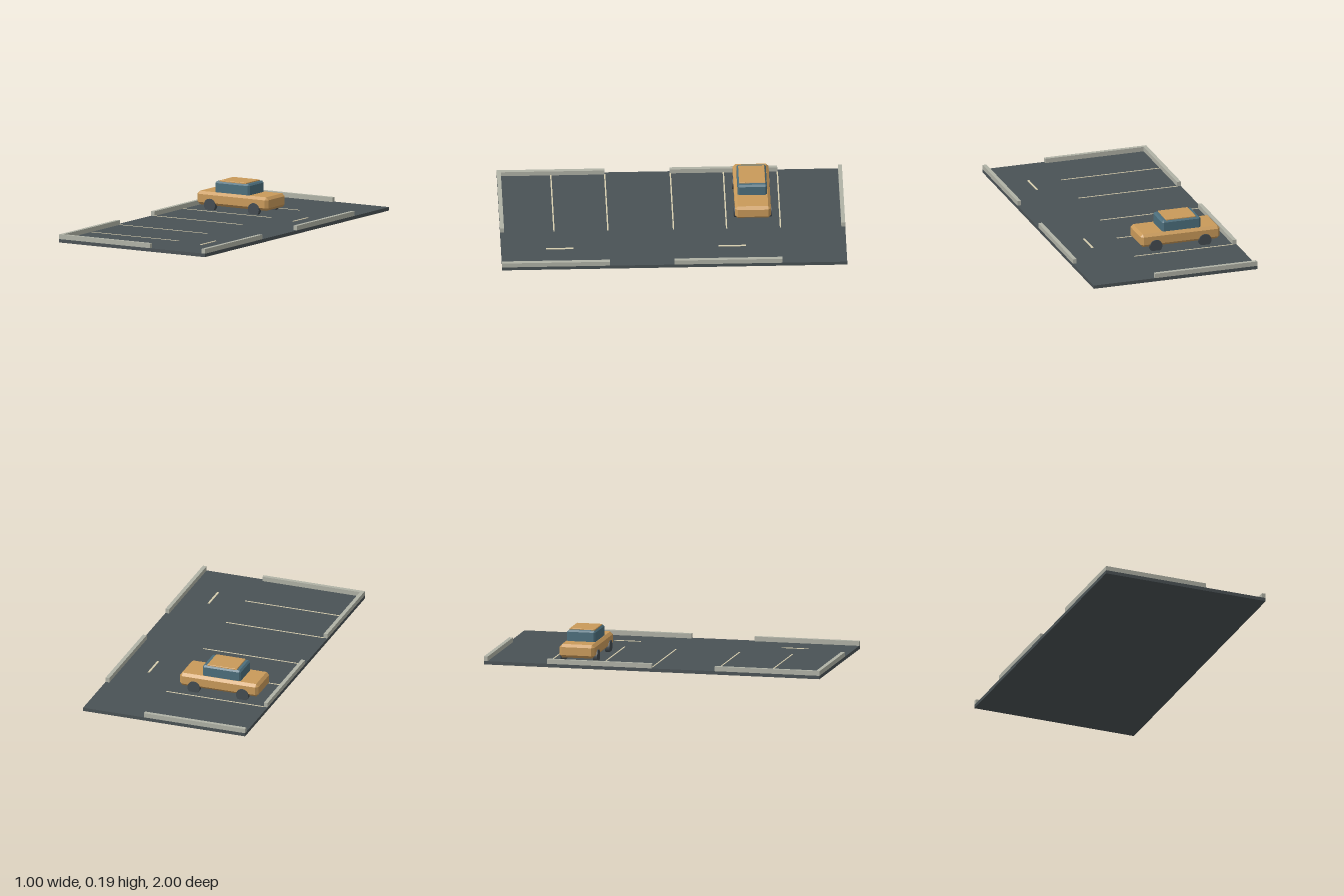
import * as THREE from 'three';
import { ConvexGeometry } from 'three/addons/geometries/ConvexGeometry.js';

const mat = (name, color) => {
  const m = new THREE.MeshStandardMaterial({ color });
  m.name = name;
  return m;
};

export function createModel() {
  const asphalt = mat('asphalt', 0x4a5255);
  const concrete = mat('concrete', 0xb0b2a6);
  const paint = mat('linePaint', 0xd6cdae);
  const bodyPaint = mat('bodyPaint', 0xc99a5a);
  const glass = mat('glass', 0x4c6e7c);
  const rubber = mat('rubber', 0x444c51);

  const add = (parent, name, geometry, material) => {
    const mesh = new THREE.Mesh(geometry, material);
    mesh.name = name;
    parent.add(mesh);
    return mesh;
  };

  // Box given by its minimum and maximum on each axis
  const box = (parent, name, material, x0, x1, y0, y1, z0, z1) =>
    add(parent, name, new THREE.BoxGeometry(x1 - x0, y1 - y0, z1 - z0), material)
      .position.set((x0 + x1) / 2, (y0 + y1) / 2, (z0 + z1) / 2);

  // Box with every edge cut at 45 degrees
  const chamferBox = (parent, name, material, w, h, d, c, x, y, z) => {
    const points = [];
    for (const sx of [-1, 1]) for (const sy of [-1, 1]) for (const sz of [-1, 1])
      for (let axis = 0; axis < 3; axis++) {
        const inset = [c, c, c];
        inset[axis] = 0;
        points.push(new THREE.Vector3(
          sx * (w / 2 - inset[0]), sy * (h / 2 - inset[1]), sz * (d / 2 - inset[2])));
      }
    add(parent, name, new ConvexGeometry(points), material).position.set(x, y, z);
  };

  const model = new THREE.Group();
  model.name = 'parkingLot';

  // Two square lots, one behind the other
  const top = 0.02, wallTop = 0.047, t = 0.023;
  for (const z0 of [-1, 0]) {
    const lot = new THREE.Group();
    lot.name = z0 < 0 ? 'backLot' : 'frontLot';
    model.add(lot);
    box(lot, 'slab', asphalt, -0.5, 0.5, 0, top, z0, z0 + 1);

    // Low walls along both sides
    box(lot, 'sideWall', concrete, -0.5, -0.5 + t, top, wallTop, z0 + 0.375, z0 + 1);
    box(lot, 'sideWall', concrete, 0.5 - t, 0.5, top, wallTop, z0 + 0.375, z0 + 1);

    // Painted bay lines and lane dash
    for (const z of [0.375, 0.6875, 0.995])
      box(lot, 'bayLine', paint, -0.477, 0.125, top, 0.0215, z0 + z - 0.004, z0 + z + 0.004);
    box(lot, 'laneDash', paint, 0.304, 0.316, top, 0.0225, z0 + 0.58, z0 + 0.74);
  }

  // Walls across the two ends
  box(model, 'backWall', concrete, -0.5, 0.125, top, wallTop, -1, -1 + t);
  box(model, 'frontWall', concrete, -0.5 + t, 0.125, top, wallTop, 1 - t, 1);

  // Parked car
  const car = new THREE.Group();
  car.name = 'car';
  car.position.set(-0.1775, 0, -0.468);
  model.add(car);
  chamferBox(car, 'body', bodyPaint, 0.485, 0.079, 0.208, 0.016, 0, 0.0835, 0);
  chamferBox(car, 'cabin', glass, 0.236, 0.08, 0.17, 0.01, -0.011, 0.147, 0);
  chamferBox(car, 'roof', bodyPaint, 0.183, 0.009, 0.152, 0.002, -0.011, 0.1885, 0);
  for (const x of [-0.148, 0.152]) for (const side of [-1, 1]) {
    const wheel = add(car, 'wheel', new THREE.CylinderGeometry(0.038, 0.038, 0.026, 20), rubber);
    wheel.rotation.x = Math.PI / 2;
    wheel.position.set(x, 0.047, side * 0.097);
  }
  return model;
}
